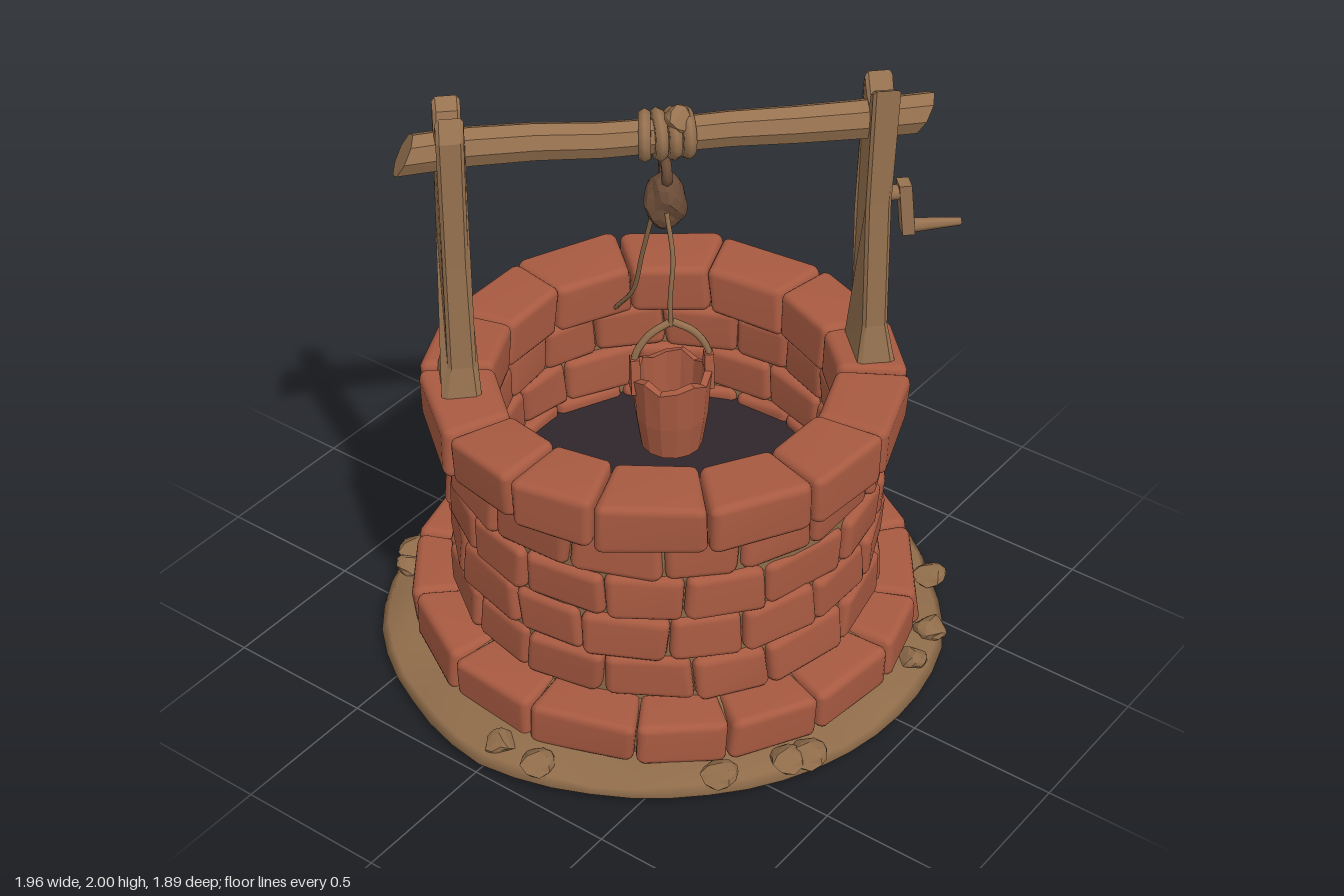
import * as THREE from 'three';
import { mergeVertices, mergeGeometries } from 'three/addons/utils/BufferGeometryUtils.js';
import { RoundedBoxGeometry } from 'three/addons/geometries/RoundedBoxGeometry.js';

const mat = (name, color) => Object.assign(new THREE.MeshStandardMaterial({ color }), { name });
const V = (x, y, z) => new THREE.Vector3(x, y, z);

export function createModel() {
  const brickMat = mat('brick', 0xa85a41);
  const woodMat = mat('wood', 0x977250);
  const dirtMat = mat('dirt', 0x8f6c4a);
  const darkMat = mat('darkWater', 0x2f262b);
  const ironMat = mat('darkWood', 0x6b4c38);

  let seed = 7;
  const rnd = () => (seed = (seed * 16807) % 2147483647) / 2147483647;
  const jit = (a) => (rnd() - 0.5) * 2 * a;

  const root = new THREE.Group();
  root.name = 'well';
  const add = (name, geo, material, parent = root) => {
    const m = new THREE.Mesh(geo, material);
    m.name = name;
    parent.add(m);
    return m;
  };

  // Move every shared vertex by a rule, then shade smooth or faceted
  const warp = (geo, rule, flat = false) => {
    geo.deleteAttribute('normal');
    geo.deleteAttribute('uv');
    let g = mergeVertices(geo, 1e-5);
    const p = g.attributes.position, v = new THREE.Vector3();
    for (let i = 0; i < p.count; i++) {
      rule(v.fromBufferAttribute(p, i));
      p.setXYZ(i, v.x, v.y, v.z);
    }
    if (flat) g = g.toNonIndexed();
    g.computeVertexNormals();
    return g;
  };
  const lump = (v, a, f = 25) => {
    const { x, y, z } = v;
    v.x += a * Math.sin(f * y + 1.3 * f * z);
    v.y += a * Math.sin(f * z + 0.8 * f * x + 1);
    v.z += a * Math.sin(f * x + 1.1 * f * y + 2);
  };

  // Ring of worn stones bent around the shaft
  const course = (name, count, r0, r1, y0, y1, turn) => {
    const widths = Array.from({ length: count }, () => 1 + jit(0.16));
    const sum = widths.reduce((a, b) => a + b, 0);
    const rm = (r0 + r1) / 2;
    let at = turn;
    const stones = widths.map((w) => {
      const span = (w / sum) * Math.PI * 2, mid = at + span / 2;
      at += span;
      const out = jit(0.008) + 0.006, tilt = jit(0.035), lean = jit(0.06), ym = (y0 + y1) / 2 + jit(0.004);
      const box = new RoundedBoxGeometry(span * rm - 0.004, y1 - y0 + 0.002, r1 - r0, 2, 0.028);
      return warp(box, (v) => {
        const a = mid + (v.x + v.y * lean) / rm, r = rm + v.z + (v.z > 0 ? out + v.y * lean : 0);
        v.set(Math.sin(a) * r, ym + v.y + v.x * tilt, Math.cos(a) * r);
        lump(v, 0.004);
      });
    });
    add(name, mergeGeometries(stones), brickMat);
  };
  course('baseCourse', 16, 0.64, 0.835, 0.06, 0.215, 0.1);
  for (let i = 0; i < 4; i++) {
    course('wallCourse' + (i + 1), 16, 0.55, 0.705, 0.215 + i * 0.16, 0.375 + i * 0.16, i % 2 ? 0.2 : 0);
  }
  course('rimCourse', 14, 0.54, 0.768, 0.845, 1.02, 0.12);

  // Mortar core between the stones
  const core = [[0.79, 0.04], [0.79, 0.18], [0.685, 0.2], [0.685, 0.84], [0.73, 0.88], [0.73, 0.97], [0.58, 0.97], [0.575, 0.3]];
  add('mortar', warp(new THREE.LatheGeometry(core.map((p) => new THREE.Vector2(...p)), 40), () => {}, true), dirtMat);

  // Dark bottom of the shaft
  add('wellBottom', new THREE.CylinderGeometry(0.58, 0.58, 0.02, 40), darkMat).position.y = 0.49;

  // Uneven earth patch: radii every 22.5 degrees, starting at the front
  const radii = [0.94, 0.945, 0.915, 0.935, 0.975, 0.985, 0.99, 0.97, 0.945, 0.93, 0.955, 0.955, 0.985, 0.955, 0.94, 0.94];
  const radiusAt = (a) => {
    const t = ((a / (Math.PI * 2) + 1) % 1) * 16, i = Math.floor(t) % 16;
    return THREE.MathUtils.lerp(radii[i], radii[(i + 1) % 16], t - Math.floor(t));
  };
  const earth = [[0, 0], [0.97, 0], [1, 0.022], [0.975, 0.045], [0.9, 0.06], [0.8, 0.085], [0, 0.085]];
  add('earthPatch', warp(new THREE.LatheGeometry(earth.map((p) => new THREE.Vector2(...p)), 48), (v) => {
    const a = Math.atan2(v.x, v.z), s = radiusAt(a);
    if (v.y > 0.04) v.y += 0.008 * Math.sin(7 * a) + 0.006 * Math.sin(13 * a + 1);
    v.x *= s;
    v.z *= s;
  }), dirtMat);

  // Clods lying around the foot
  const clods = [[-0.32, -0.83], [-0.4, -0.79], [-0.9, 0.02], [-0.9, 0.17], [-0.42, 0.79], [-0.36, 0.83], [0.22, 0.85],
    [0.38, 0.81], [0.62, 0.66], [0.88, -0.08], [0.86, -0.3], [-0.6, 0.66]];
  for (const [x, z] of clods) {
    const s = 0.045 + rnd() * 0.02;
    const clod = add('clod', warp(new THREE.IcosahedronGeometry(s, 1), (v) => lump(v, 0.008, 50), true), dirtMat);
    clod.position.set(x, 0.065, z);
    clod.scale.y = 0.6;
    clod.rotation.y = rnd() * 6;
  }

  // Wooden frame, set diagonally across the rim
  const frame = new THREE.Group();
  frame.name = 'frame';
  frame.rotation.y = -Math.PI / 4;
  root.add(frame);

  // Posts with split, jagged tops
  const outline = [[-0.1, 1], [0.095, 1], [0.075, 1.12], [0.07, 1.5], [0.078, 1.93], [0.05, 1.985], [0.02, 1.93],
    [-0.02, 1.92], [-0.04, 1.97], [-0.075, 1.99], [-0.07, 1.6], [-0.075, 1.15]];
  for (const side of [-1, 1]) {
    const g = new THREE.ExtrudeGeometry(new THREE.Shape(outline.map((p) => new THREE.Vector2(...p))),
      { depth: 0.06, bevelEnabled: true, bevelSize: 0.01, bevelThickness: 0.01, bevelSegments: 1 });
    g.translate(0, 0, -0.03);
    g.rotateY(side * Math.PI / 2);
    const post = add(side < 0 ? 'rightPost' : 'leftPost', warp(g, (v) => {
      v.x *= 1 + 0.6 * Math.max(0, 1.15 - v.y) / 0.15 + 0.25 * Math.max(0, v.y - 1.7);
      v.x += 0.008 * Math.sin(v.y * 7 + side);
    }, true), woodMat, frame);
    post.position.x = side * 0.655;
  }

  // Cross beam, thinner at the middle, with rough ends
  const log = new THREE.CylinderGeometry(0.066, 0.066, 1.58, 8, 8);
  log.rotateZ(Math.PI / 2);
  add('crossBeam', warp(log, (v) => {
    const s = 0.86 + 0.2 * Math.abs(v.x);
    v.y = v.y * s + 0.006 * Math.sin(v.x * 9);
    v.z = v.z * s * 0.9 + 0.008 * Math.sin(v.x * 6 + 1);
    if (Math.abs(v.x) > 0.75) v.x += v.y * 0.5;
  }, true), woodMat, frame).position.y = 1.863;

  // Rope wound round the beam
  for (let i = 0; i < 4; i++) {
    const coil = add('ropeCoil', new THREE.TorusGeometry(0.062, 0.022, 6, 14), woodMat, frame);
    coil.position.set((i - 1.5) * 0.042, 1.863, 0);
    coil.rotation.set(jit(0.2), Math.PI / 2 + jit(0.3), 0);
  }
  const knot = add('knot', warp(new THREE.IcosahedronGeometry(0.045, 1), (v) => lump(v, 0.006, 60), true), woodMat, frame);
  knot.position.set(0.03, 1.92, 0.02);

  // Crank on the left post
  const axle = add('crankAxle', new THREE.CylinderGeometry(0.025, 0.025, 0.1, 8), woodMat, frame);
  axle.position.set(0.715, 1.59, 0);
  axle.rotation.z = Math.PI / 2;
  const arm = add('crankArm', warp(new THREE.BoxGeometry(0.04, 0.18, 0.055, 1, 3, 1), (v) => { v.x += v.y * -0.1; }, true), woodMat, frame);
  arm.position.set(0.755, 1.535, 0);
  const grip = add('crankHandle', new THREE.CylinderGeometry(0.013, 0.026, 0.18, 7), woodMat, frame);
  grip.position.set(0.845, 1.465, 0);
  grip.rotation.z = -Math.PI / 2;

  // Pulley block hanging under the beam
  const pulley = new THREE.Group();
  pulley.name = 'pulley';
  pulley.position.set(0.04, 1.6, -0.03);
  root.add(pulley);
  add('pulleyBlock', warp(new THREE.IcosahedronGeometry(1, 2), (v) => {
    v.set(v.x * 0.068, v.y * 0.1 - 0.005, v.z * 0.068);
    lump(v, 0.005, 50);
  }, true), ironMat, pulley);
  const hook = add('pulleyRing', new THREE.TorusGeometry(0.036, 0.018, 6, 12), ironMat, pulley);
  hook.position.y = 0.1;
  hook.rotation.y = Math.PI / 4;

  // Ropes
  const rope = (name, pts, r) =>
    add(name, new THREE.TubeGeometry(new THREE.CatmullRomCurve3(pts.map((p) => V(...p))), 16, r, 5), woodMat);
  rope('bucketRope', [[-0.02, 1.6, 0.02], [-0.028, 1.45, 0.05], [-0.035, 1.3, 0.045], [-0.025, 1.19, 0.04]], 0.008);
  rope('slackRope', [[0.1, 1.62, -0.08], [0.14, 1.5, -0.14], [0.2, 1.24, -0.24], [0.265, 1.02, -0.33], [0.31, 0.88, -0.44]], 0.008);
  rope('pulleyHanger', [[0.02, 1.82, 0], [0.04, 1.76, -0.03], [0.04, 1.7, -0.03]], 0.008);

  // Bucket with ears and a forked sling
  const bucket = new THREE.Group();
  bucket.name = 'bucket';
  bucket.position.set(-0.02, 0, 0.04);
  bucket.rotation.y = -Math.PI / 4;
  root.add(bucket);
  const pail = [[0, 0.74], [0.1, 0.74], [0.118, 0.86], [0.128, 1.01], [0.105, 1.015], [0.085, 0.78], [0, 0.78]];
  add('pail', warp(new THREE.LatheGeometry(pail.map((p) => new THREE.Vector2(...p)), 14), (v) => {
    if (v.y > 1) v.y += 0.015 * Math.sin(5 * Math.atan2(v.x, v.z));
  }, true), brickMat, bucket);
  for (const side of [-1, 1]) {
    const ear = add('bucketEar', warp(new THREE.BoxGeometry(0.03, 0.12, 0.07), (v) => { if (v.y > 0) v.z *= 0.5; }, true), brickMat, bucket);
    ear.position.set(side * 0.118, 1.015, 0);
    add('sling', new THREE.TubeGeometry(new THREE.CatmullRomCurve3(
      [V(0, 1.205, 0), V(side * 0.07, 1.16, 0), V(side * 0.115, 1.09, 0), V(side * 0.12, 1.04, 0)]), 10, 0.012, 6), woodMat, bucket);
  }

  return root;
}
